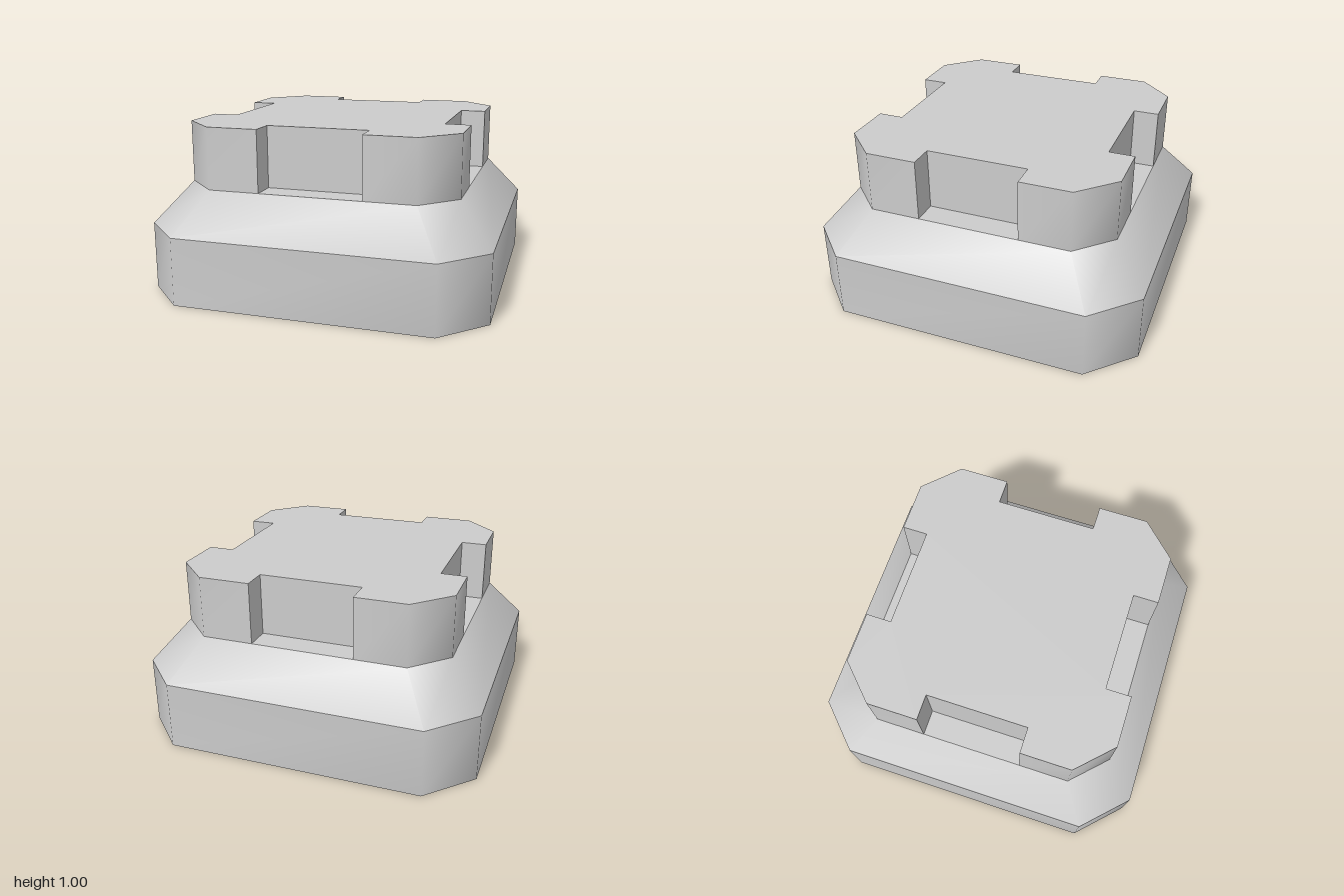
import * as THREE from 'three';
import { mergeGeometries, toCreasedNormals } from 'three/addons/utils/BufferGeometryUtils.js';

const CREASE = THREE.MathUtils.degToRad(50);

// Repeat a quarter outline around the centre, counter-clockwise seen from above
function fourfold(quarter) {
  const loop = [];
  let q = quarter;
  for (let i = 0; i < 4; i++) {
    loop.push(...q);
    q = q.map(([x, y]) => [-y, x]);
  }
  return loop;
}

// Square with chamfered corners: half width r, straight part up to c
const chamfered = (r, c) => fourfold([[r, -c], [r, c]]);

// Band of quads between two outlines at two heights, soft around the corners
function band(lower, y0, upper, y1) {
  const pos = [];
  lower.forEach((a, i) => {
    const j = (i + 1) % lower.length;
    const b = lower[j], c = upper[j], d = upper[i];
    const A = [a[0], y0, -a[1]], B = [b[0], y0, -b[1]];
    const C = [c[0], y1, -c[1]], D = [d[0], y1, -d[1]];
    pos.push(...A, ...B, ...C, ...A, ...C, ...D);
  });
  const g = new THREE.BufferGeometry();
  g.setAttribute('position', new THREE.Float32BufferAttribute(pos, 3));
  return toCreasedNormals(g, CREASE);
}

// Flat cap facing up or down
function cap(loop, y, up = true) {
  const shape = new THREE.Shape(loop.map(([x, z]) => new THREE.Vector2(x, z)));
  const g = new THREE.ShapeGeometry(shape).toNonIndexed();
  g.rotateX(up ? -Math.PI / 2 : Math.PI / 2).translate(0, y, 0);
  g.deleteAttribute('uv');
  return g;
}

export function createModel() {
  const group = new THREE.Group();
  const material = new THREE.MeshStandardMaterial({ color: 0xcccccc });
  const add = (name, parts) => {
    const mesh = new THREE.Mesh(mergeGeometries(parts), material);
    mesh.name = name;
    group.add(mesh);
  };

  const foot = chamfered(1, 0.75);
  const neck = chamfered(0.8, 0.6);
  const notched = fourfold([
    [0.65, -0.3], [0.65, 0.3], [0.8, 0.3], [0.8, 0.6], [0.6, 0.8], [0.3, 0.8],
  ]);

  // Plinth with its underside
  add('base', [band(foot, 0, foot, 0.4), cap(foot, 0, false)]);

  // Sloping transition
  add('slope', [band(foot, 0.4, neck, 0.64)]);

  // Upper block with a notch in the middle of each side
  add('notchedBlock', [band(notched, 0.64, notched, 1), cap(notched, 1)]);

  // Floors of the four notches
  const floors = [];
  for (let i = 0; i < 4; i++) {
    const floor = cap([[0.65, -0.3], [0.8, -0.3], [0.8, 0.3], [0.65, 0.3]], 0.64);
    floors.push(floor.rotateY(i * Math.PI / 2));
  }
  add('notchFloors', floors);

  return group;
}
